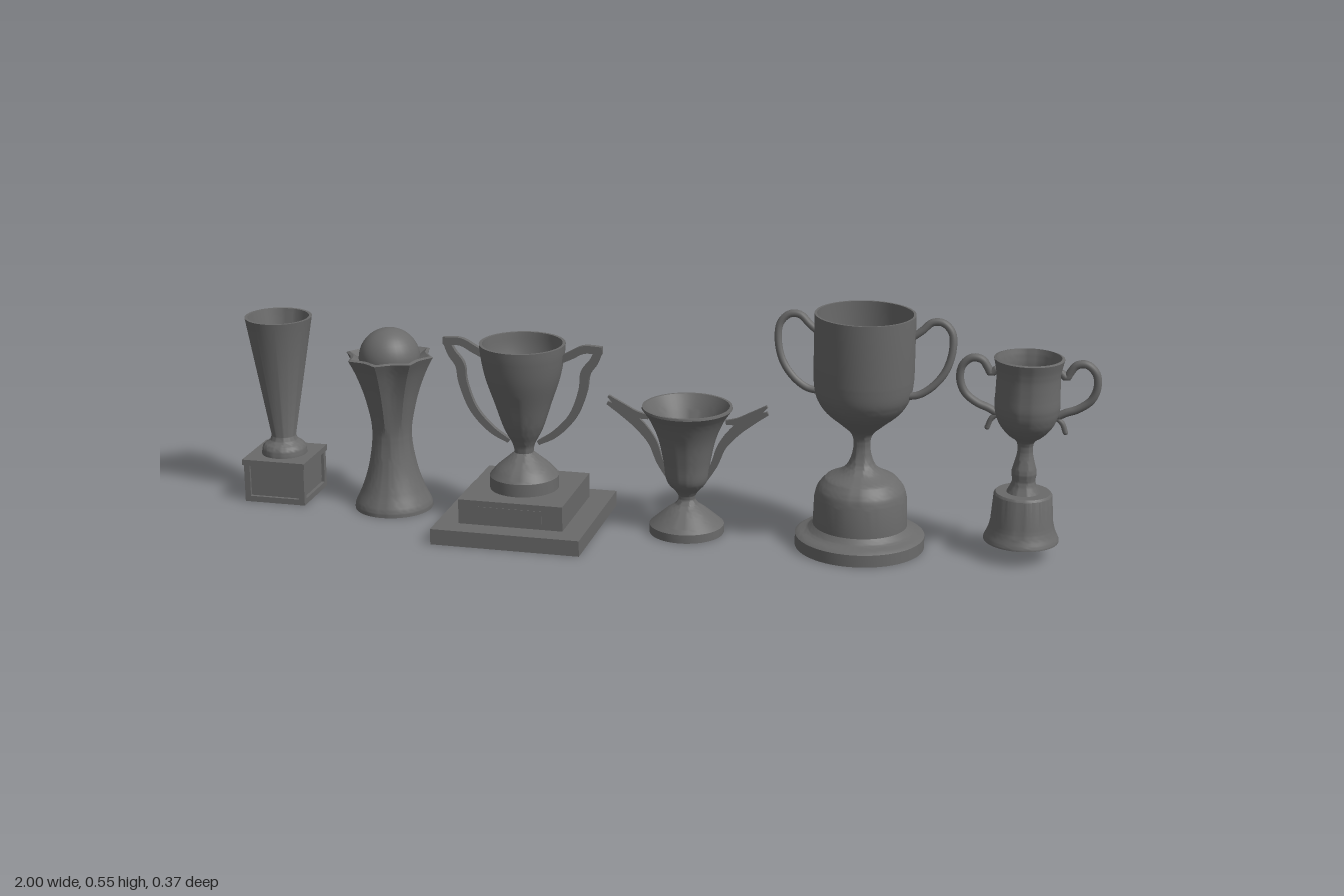
import * as THREE from 'three';
import { toCreasedNormals } from 'three/addons/utils/BufferGeometryUtils.js';

const mat = new THREE.MeshStandardMaterial({ color: 0x6a6a6a });

function add(parent, geo, name, x = 0, y = 0, z = 0) {
  const m = new THREE.Mesh(geo, mat);
  m.name = name;
  m.position.set(x, y, z);
  parent.add(m);
  return m;
}
const box = (p, name, w, h, d, x, y, z) => add(p, new THREE.BoxGeometry(w, h, d), name, x, y, z);

// Joins profile sections [radius, height]; sections of three or more points become smooth curves.
function profile(sections) {
  const out = [];
  for (const s of sections) {
    const v = s.map(([r, y]) => new THREE.Vector2(r, y));
    const pts = v.length > 2 ? new THREE.SplineCurve(v).getPoints((v.length - 1) * 5) : v;
    for (const p of pts) {
      p.x = Math.max(p.x, 0);
      if (!out.length || out[out.length - 1].distanceTo(p) > 1e-5) out.push(p);
    }
  }
  return out;
}
const turned = (sections, seg = 48) =>
  toCreasedNormals(new THREE.LatheGeometry(profile(sections), seg), 0.6);

// Flat curved arm: points are [x, y, half width], extruded along z.
function ribbon(points, depth) {
  const c = new THREE.CatmullRomCurve3(points.map(p => new THREE.Vector3(...p)));
  const left = [], right = [];
  for (let i = 0; i <= 36; i++) {
    const p = c.getPoint(i / 36), t = c.getTangent(i / 36);
    const l = Math.hypot(t.x, t.y) || 1, nx = -t.y / l * p.z, ny = t.x / l * p.z;
    left.push(new THREE.Vector2(p.x + nx, p.y + ny));
    right.unshift(new THREE.Vector2(p.x - nx, p.y - ny));
  }
  const g = new THREE.ExtrudeGeometry(new THREE.Shape([...left, ...right]), { depth, bevelEnabled: false });
  g.translate(0, 0, -depth / 2);
  return toCreasedNormals(g, 0.6);
}
function ribbonPair(p, points, depth, name) {
  const g = ribbon(points, depth);
  add(p, g, name + 'Left');
  add(p, g, name + 'Right').rotation.y = Math.PI;
}
// Round handles on both sides; lean tips them backward with height.
function tubePair(p, points, r, name, lean = 0, midY = 0) {
  for (const s of [1, -1]) {
    const c = new THREE.CatmullRomCurve3(points.map(([x, y]) => new THREE.Vector3(s * x, y, -(y - midY) * lean)));
    const side = s > 0 ? 'Left' : 'Right';
    add(p, new THREE.TubeGeometry(c, 48, r, 10), name + side);
    for (const e of [points[0], points[points.length - 1]])
      add(p, new THREE.SphereGeometry(r, 10, 8), name + 'End' + side, s * e[0], e[1], -(e[1] - midY) * lean);
  }
}

// Tall cone on a panelled square plinth
function coneTrophy(g) {
  box(g, 'plinthTop', 0.156, 0.014, 0.156, 0, 0.098, 0);
  box(g, 'plinthCore', 0.136, 0.07, 0.136, 0, 0.06, 0);
  for (let i = 0; i < 4; i++) {
    const a = i * Math.PI / 2, c = Math.round(Math.cos(a)), s = Math.round(Math.sin(a));
    const bar = box(g, 'plinthSkirt', 0.15, 0.014, 0.012, s * 0.069, 0.007, c * 0.069);
    const panel = box(g, 'plinthPanel', 0.134, 0.09, 0.006, s * 0.064, 0.046, c * 0.064);
    bar.rotation.y = panel.rotation.y = a;
    box(g, 'plinthPost', 0.014, 0.091, 0.014, (c - s) * 0.068, 0.0455, (s + c) * 0.068);
  }
  add(g, turned([
    [[0, 0.1], [0.054, 0.1]], [[0.054, 0.105], [0.05, 0.125], [0.034, 0.138], [0.029, 0.15]],
    [[0.029, 0.15], [0.079, 0.443]], [[0.079, 0.443], [0.072, 0.443]],
    [[0.072, 0.443], [0.063, 0.395]], [[0.063, 0.395], [0.05, 0.395]],
    [[0.05, 0.395], [0.022, 0.2]], [[0.022, 0.2], [0, 0.2]],
  ]), 'cone');
}

// Fluted column opening into an eight-pointed crown that holds a ball
function ballTrophy(g) {
  const geo = new THREE.LatheGeometry(profile([
    [[0, 0], [0.092, 0]], [[0.092, 0], [0.09, 0.015], [0.074, 0.05], [0.058, 0.1], [0.049, 0.16],
      [0.051, 0.21], [0.067, 0.28], [0.087, 0.335], [0.106, 0.373]],
    [[0.106, 0.373], [0.098, 0.376]], [[0.098, 0.376], [0.065, 0.355]], [[0.065, 0.355], [0, 0.35]],
  ]), 64);
  const p = geo.attributes.position;
  for (let i = 0; i < p.count; i++) {
    const x = p.getX(i), z = p.getZ(i), y = p.getY(i);
    const flute = 0.15 * THREE.MathUtils.smoothstep(y, 0.08, 0.36);
    const k = 1 - flute * Math.abs(Math.sin(4 * Math.atan2(z, x)));
    p.setXYZ(i, x * k, y, z * k);
  }
  add(g, toCreasedNormals(geo, 0.6), 'flutedColumn');
  add(g, new THREE.SphereGeometry(0.072, 32, 20), 'ball', 0, 0.366, 0);
}

// Two-handled cup on stepped square slabs
function steppedTrophy(g) {
  box(g, 'lowerSlab', 0.35, 0.037, 0.35, 0, 0.0185, 0);
  box(g, 'upperSlab', 0.246, 0.058, 0.246, 0, 0.066, 0);
  box(g, 'plaque', 0.15, 0.03, 0.003, 0, 0.066, 0.1225);
  add(g, turned([
    [[0, 0.09], [0.08, 0.09]], [[0.08, 0.09], [0.08, 0.125]],
    [[0.08, 0.125], [0.064, 0.144], [0.042, 0.163], [0.022, 0.18]],
    [[0.022, 0.18], [0.026, 0.2], [0.046, 0.24], [0.066, 0.3], [0.086, 0.36], [0.096, 0.41], [0.099, 0.44]],
    [[0.099, 0.44], [0.092, 0.44]],
    [[0.092, 0.44], [0.085, 0.39], [0.056, 0.3], [0.03, 0.24], [0, 0.225]],
  ]), 'cup');
  ribbonPair(g, [[0.088, 0.405, 0.008], [0.115, 0.419, 0.009], [0.145, 0.434, 0.009], [0.188, 0.434, 0.009]],
    0.012, 'handleTop');
  ribbonPair(g, [[0.18, 0.434, 0.008], [0.168, 0.407, 0.01], [0.149, 0.38, 0.011], [0.143, 0.34, 0.01],
    [0.118, 0.275, 0.009], [0.075, 0.228, 0.008], [0.035, 0.204, 0.005]], 0.012, 'handleArm');
}

// Small flared cup with winged arms
function wingedTrophy(g) {
  add(g, turned([
    [[0, 0], [0.086, 0]], [[0.086, 0], [0.086, 0.02]],
    [[0.086, 0.02], [0.07, 0.034], [0.045, 0.055], [0.025, 0.07], [0.019, 0.085], [0.027, 0.1],
      [0.047, 0.125], [0.054, 0.17], [0.066, 0.225], [0.085, 0.27], [0.104, 0.298]],
    [[0.104, 0.298], [0.103, 0.303]], [[0.103, 0.303], [0.097, 0.303]],
    [[0.097, 0.303], [0.076, 0.265], [0.056, 0.22], [0.044, 0.17], [0.03, 0.135], [0, 0.125]],
  ]), 'cup');
  ribbonPair(g, [[0.04, 0.125, 0.006], [0.063, 0.165, 0.008], [0.082, 0.213, 0.01], [0.115, 0.253, 0.012],
    [0.15, 0.28, 0.011], [0.187, 0.298, 0.004]], 0.008, 'wing');
  ribbonPair(g, [[0.09, 0.27, 0.005], [0.12, 0.275, 0.008], [0.15, 0.289, 0.009], [0.185, 0.314, 0.003]],
    0.008, 'wingTip');
}

// Large loving cup on a bell-shaped foot
function largeTrophy(g) {
  add(g, turned([
    [[0, 0], [0.147, 0]], [[0.147, 0], [0.147, 0.028]], [[0.147, 0.028], [0.138, 0.034]],
    [[0.138, 0.034], [0.12, 0.04], [0.107, 0.052]], [[0.107, 0.052], [0.105, 0.115]],
    [[0.105, 0.115], [0.098, 0.14], [0.08, 0.162]],
    [[0.08, 0.162], [0.045, 0.18], [0.028, 0.2], [0.019, 0.235], [0.024, 0.265], [0.05, 0.29],
      [0.085, 0.32], [0.106, 0.355], [0.1125, 0.4]],
    [[0.1125, 0.4], [0.1125, 0.545]], [[0.1125, 0.545], [0.107, 0.545]], [[0.107, 0.545], [0.107, 0.4]],
    [[0.107, 0.4], [0.1, 0.358], [0.078, 0.325], [0.042, 0.302], [0, 0.296]],
  ], 64), 'cup');
  tubePair(g, [[0.105, 0.495], [0.125, 0.51], [0.148, 0.53], [0.172, 0.53], [0.192, 0.51],
    [0.195, 0.47], [0.182, 0.425], [0.155, 0.39], [0.125, 0.37], [0.1, 0.365]], 0.0085, 'handle', 0.18, 0.46);
}

// Small cup with scrolled handles
function scrollTrophy(g) {
  add(g, turned([
    [[0, 0.04], [0.084, 0.04]], [[0.084, 0.04], [0.084, 0.045]], [[0.084, 0.045], [0.075, 0.065], [0.07, 0.085]],
    [[0.07, 0.085], [0.065, 0.148]], [[0.065, 0.148], [0.061, 0.153]], [[0.061, 0.153], [0.037, 0.153]],
    [[0.037, 0.153], [0.026, 0.178], [0.028, 0.2], [0.021, 0.228], [0.017, 0.25], [0.021, 0.272],
      [0.042, 0.289], [0.062, 0.315], [0.072, 0.35], [0.071, 0.39], [0.071, 0.43], [0.0775, 0.463]],
    [[0.0775, 0.463], [0.071, 0.465]],
    [[0.071, 0.465], [0.064, 0.43], [0.064, 0.35], [0.045, 0.305], [0, 0.292]],
  ]), 'cup');
  tubePair(g, [[0.072, 0.432], [0.083, 0.424], [0.09, 0.436], [0.103, 0.453], [0.125, 0.456], [0.146, 0.437],
    [0.15, 0.405], [0.138, 0.375], [0.11, 0.353], [0.085, 0.343], [0.07, 0.335]], 0.009, 'handle');
  tubePair(g, [[0.065, 0.33], [0.078, 0.318], [0.086, 0.298]], 0.006, 'handleTail');
}

export function createModel() {
  const root = new THREE.Group();
  root.name = 'trophies';
  const row = [
    [coneTrophy, -0.922, -0.07], [ballTrophy, -0.64, -0.047], [steppedTrophy, -0.3, 0.01],
    [wingedTrophy, 0.075, -0.035], [largeTrophy, 0.477, -0.0375], [scrollTrophy, 0.84, -0.049],
  ];
  for (const [build, x, z] of row) {
    const g = new THREE.Group();
    g.name = build.name;
    g.position.set(x, 0, z);
    build(g);
    root.add(g);
  }
  return root;
}
